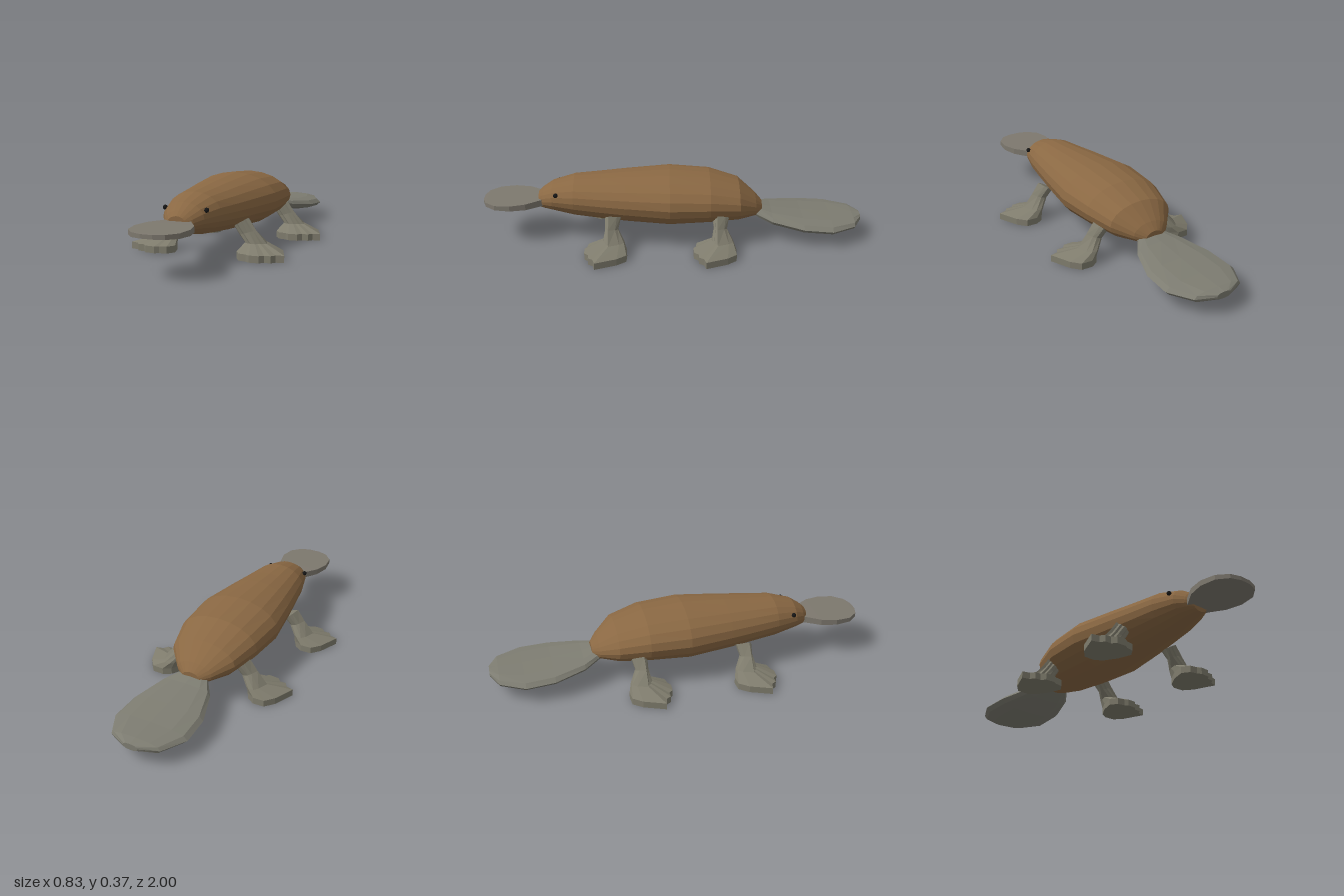
import * as THREE from 'three';

const mat = (name, color) => {
  const m = new THREE.MeshStandardMaterial({ color });
  m.name = name;
  return m;
};

// Faceted skin over rings of [x, y, z], counter-clockwise about the direction of travel
function loft(rings) {
  const pos = [];
  const tri = (a, b, c) => pos.push(...a, ...b, ...c);
  const n = rings[0].length;
  for (let r = 0; r < rings.length - 1; r++) {
    const a = rings[r], b = rings[r + 1];
    for (let i = 0; i < n; i++) {
      const j = (i + 1) % n;
      tri(a[i], a[j], b[j]);
      tri(a[i], b[j], b[i]);
    }
  }
  // End caps
  const cap = (ring, flip) => {
    const c = [0, 1, 2].map(k => ring.reduce((s, p) => s + p[k], 0) / n);
    for (let i = 0; i < n; i++) {
      const j = (i + 1) % n;
      if (flip) tri(c, ring[j], ring[i]);
      else tri(c, ring[i], ring[j]);
    }
  };
  cap(rings[0], true);
  cap(rings[rings.length - 1], false);
  const geo = new THREE.BufferGeometry();
  geo.setAttribute('position', new THREE.Float32BufferAttribute(pos, 3));
  geo.computeVertexNormals();
  return geo;
}

// Oval ring at z; a power below 1 makes it boxier
function oval([z, top, bottom, w], sides, power = 1) {
  const ring = [];
  const bend = v => Math.sign(v) * Math.pow(Math.abs(v), power);
  for (let i = 0; i < sides; i++) {
    const t = (i / sides) * Math.PI * 2;
    ring.push([w * bend(Math.cos(t)), (top + bottom) / 2 + ((top - bottom) / 2) * bend(Math.sin(t)), z]);
  }
  return ring;
}

// Webbed foot outline, [x, z], from inner toe round the front to the heel
const footOutline = [
  [0.168, 0.4], [0.195, 0.44], [0.235, 0.447], [0.255, 0.46], [0.305, 0.457], [0.325, 0.435],
  [0.358, 0.435], [0.375, 0.41], [0.415, 0.4], [0.37, 0.29], [0.33, 0.242], [0.27, 0.24], [0.23, 0.265], [0.19, 0.33],
];

// Leg levels: centre x, y, z, half width, half depth, tilt
const legLevels = [
  [0.29, 0, 0.35, 0.125, 0.11, 0],
  [0.29, 0.035, 0.35, 0.125, 0.11, 0],
  [0.243, 0.07, 0.31, 0.058, 0.055, 0],
  [0.2, 0.12, 0.32, 0.045, 0.034, 0.3],
  [0.165, 0.17, 0.315, 0.038, 0.042, 0.6],
];

function legGeometry(side, zShift) {
  return loft(legLevels.map(([cx, cy, cz, hx, hz, tilt]) => {
    const ring = footOutline.map(([x, z]) => {
      const dx = ((x - 0.29) / 0.125) * hx;
      return [side * (cx + dx), cy + tilt * dx, cz + ((z - 0.35) / 0.11) * hz + zShift];
    });
    return side < 0 ? ring.reverse() : ring;
  }));
}

export function createModel() {
  const model = new THREE.Group();
  model.name = 'swimmingAnimal';
  const fur = mat('brown fur', 0x8a6843);
  const skin = mat('grey leg skin', 0x7f7c6d);
  const billGrey = mat('bill grey', 0x7d786e);
  const tailGrey = mat('tail grey', 0x7d7c71);
  const black = mat('eye black', 0x161616);

  const add = (name, geo, material) => {
    const mesh = new THREE.Mesh(geo, material);
    mesh.name = name;
    model.add(mesh);
    return mesh;
  };

  // Body and head: z, top, bottom, half width
  const bodyStations = [
    [-0.47, 0.19, 0.125, 0.05],
    [-0.435, 0.228, 0.118, 0.1],
    [-0.345, 0.305, 0.108, 0.18],
    [-0.19, 0.353, 0.1, 0.222],
    [0.02, 0.37, 0.09, 0.235],
    [0.25, 0.357, 0.103, 0.195],
    [0.38, 0.347, 0.115, 0.17],
    [0.52, 0.338, 0.13, 0.143],
    [0.635, 0.305, 0.155, 0.107],
    [0.685, 0.272, 0.163, 0.075],
    [0.71, 0.25, 0.167, 0.05],
  ];
  add('body', loft(bodyStations.map(s => oval(s, 20))), fur);

  // Broad flat tail
  const tailStations = [
    [-1, 0.116, 0.082, 0.04],
    [-0.955, 0.122, 0.066, 0.135],
    [-0.83, 0.127, 0.057, 0.202],
    [-0.68, 0.138, 0.066, 0.196],
    [-0.52, 0.155, 0.092, 0.14],
    [-0.45, 0.168, 0.115, 0.09],
    [-0.4, 0.18, 0.135, 0.06],
  ];
  add('tail', loft(tailStations.map(s => oval(s, 12, 0.8))), tailGrey);

  // Flat bill: z, top, bottom, half width
  const billStations = [
    [0.66, 0.227, 0.19, 0.05],
    [0.7, 0.226, 0.191, 0.072],
    [0.77, 0.225, 0.193, 0.12],
    [0.85, 0.223, 0.195, 0.14],
    [0.93, 0.221, 0.197, 0.128],
    [0.982, 0.22, 0.198, 0.083],
    [1, 0.219, 0.199, 0.03],
  ];
  add('bill', loft(billStations.map(([z, t, b, w]) => [[w, t, z], [-w, t, z], [-w, b, z], [w, b, z]])), billGrey);

  // Legs and eyes on both sides
  for (const side of [1, -1]) {
    const label = side > 0 ? 'Left' : 'Right';
    add('front' + label + 'Leg', legGeometry(side, 0), skin);
    add('hind' + label + 'Leg', legGeometry(side, -0.56), skin);
    add('eye' + label, new THREE.SphereGeometry(0.012, 10, 8), black).position.set(side * 0.108, 0.269, 0.612);
  }
  return model;
}
